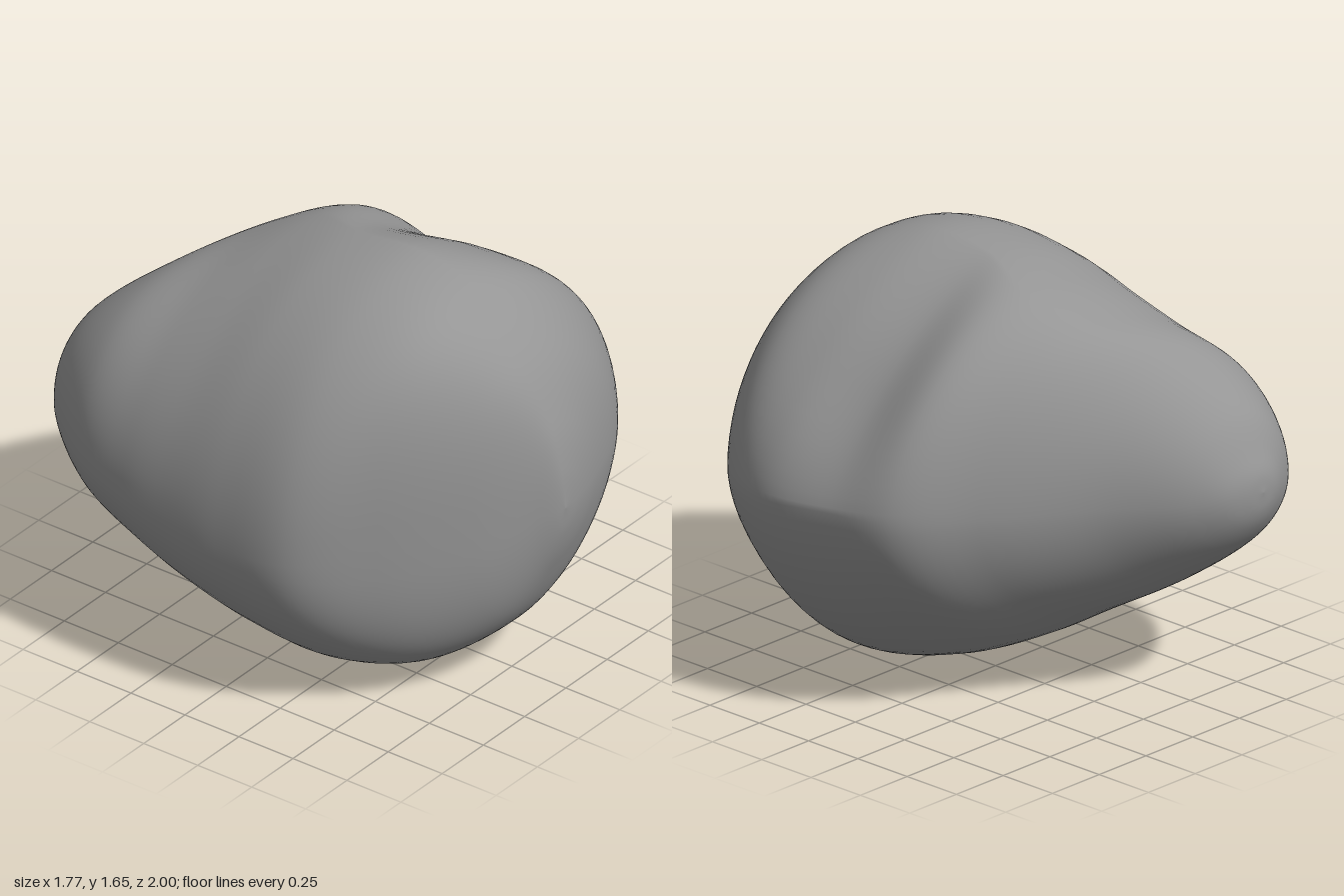
import * as THREE from 'three';

const { smoothstep } = THREE.MathUtils;

// Outline from back to front: z, left x, right x, bottom y, top y
const OUTLINE = [
  [-1, -0.38, -0.38, 0.86, 0.86],
  [-0.99, -0.45, -0.3, 0.78, 0.93],
  [-0.96, -0.52, -0.21, 0.71, 1.0],
  [-0.88, -0.64, -0.09, 0.61, 1.14],
  [-0.65, -0.8, 0.16, 0.43, 1.34],
  [-0.4, -0.86, 0.51, 0.28, 1.48],
  [-0.2, -0.88, 0.77, 0.16, 1.57],
  [0.05, -0.89, 0.85, 0.05, 1.63],
  [0.35, -0.85, 0.88, 0, 1.65],
  [0.6, -0.62, 0.78, 0.08, 1.57],
  [0.82, -0.33, 0.55, 0.27, 1.36],
  [0.94, -0.12, 0.27, 0.51, 1.12],
  [0.985, -0.04, 0.11, 0.66, 0.94],
  [1, 0, 0, 0.78, 0.78],
];
const AROUND = 72;
const ALONG = 91;

// Bell-shaped weight along the length of the stone
const bell = (z, middle, width) => Math.exp(-(((z - middle) / width) ** 2));

// Point on one cross-section, made of four rounded quarters
function sectionPoint([z, left, right, bottom, top], angle) {
  const c = Math.cos(angle), s = Math.sin(angle);
  // Crest and keel drift toward the back lobe; the crest swings right behind the middle
  const spine = -0.38 * (1 - smoothstep(z, -1, 0.5));
  const cx = spine + (s >= 0 ? 0.25 * bell(z, -0.3, 0.3) : 0.05 * (1 - z * z));
  // Height of the widest point on each flank
  const cy = c >= 0 ? 0.82 - 0.04 * z + 0.03 * bell(z, 0.1, 0.4) : 0.7 - 0.04 * z + 0.12 * z * z;
  // Flat facets on the right flank, a boxy front left
  let roundness = 2;
  if (c < 0) roundness += 0.7 * smoothstep(z, 0.25, 0.65) * (1 - smoothstep(z, 0.85, 1));
  else if (s >= 0) roundness -= 0.7 * bell(z, 0.15, 0.4);
  else roundness -= 0.22 * bell(z, -0.1, 0.6) + 0.35 * bell(z, 0.65, 0.3);
  return new THREE.Vector3(
    cx + ((c >= 0 ? right : left) - cx) * Math.abs(c) ** (2 / roundness),
    cy + ((s >= 0 ? top : bottom) - cy) * Math.abs(s) ** (2 / roundness),
    z
  );
}

export function createModel() {
  const group = new THREE.Group();
  group.name = 'boulder';

  // Smooth lengthwise curves through matching points of all sections
  const lines = Array.from({ length: AROUND }, (_, j) => {
    const angle = (j / AROUND) * Math.PI * 2;
    const points = OUTLINE.map((row) => sectionPoint(row, angle));
    return new THREE.CatmullRomCurve3(points).getPoints(ALONG);
  });

  const positions = [];
  const indices = [];
  const hollow = new THREE.Vector3(0.58, 1.17, 0.2);
  for (let i = 0; i <= ALONG; i++) {
    for (let j = 0; j < AROUND; j++) {
      const p = lines[j][i];
      // Shallow hollow in the upper right shoulder
      const push = 0.012 * Math.exp(-p.distanceToSquared(hollow) / 0.04);
      positions.push(p.x - push, Math.max(0, p.y - push), p.z);
      if (i < ALONG) {
        const a = i * AROUND + j, b = i * AROUND + ((j + 1) % AROUND);
        indices.push(a, b, b + AROUND, a, b + AROUND, a + AROUND);
      }
    }
  }

  const geometry = new THREE.BufferGeometry();
  geometry.setAttribute('position', new THREE.Float32BufferAttribute(positions, 3));
  geometry.setIndex(indices);
  geometry.computeVertexNormals();

  const stone = new THREE.Mesh(geometry, new THREE.MeshStandardMaterial({ color: 0x959595 }));
  stone.name = 'stone';
  group.add(stone);
  return group;
}
